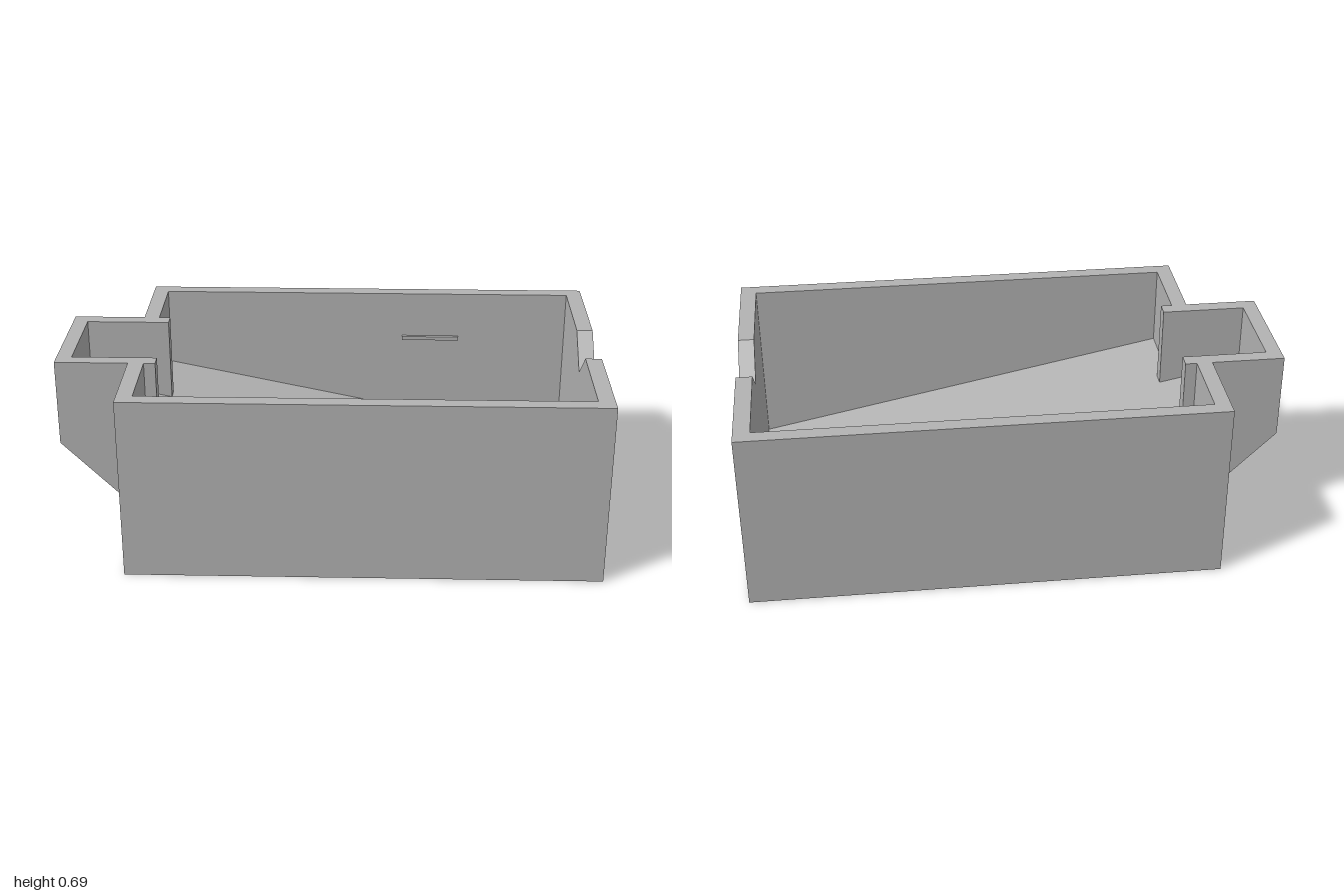
import * as THREE from 'three';

const H = 0.686;                          // rim height
const ramp = (x) => 0.242 - 0.205 * x;    // height of the sloping floor

export function createModel() {
  const group = new THREE.Group();
  group.name = 'openTray';
  const grey = new THREE.MeshStandardMaterial({ color: 0xb2b2b2 });
  grey.name = 'grey';

  const extrude = (points, depth) => new THREE.ExtrudeGeometry(
    new THREE.Shape(points.map(([x, y]) => new THREE.Vector2(x, y))),
    { depth, bevelEnabled: false });

  const add = (name, geometry) => {
    const mesh = new THREE.Mesh(geometry, grey);
    mesh.name = name;
    group.add(mesh);
  };

  // Side profile (x, y) extruded from z0 to z1
  const slab = (name, points, z0, z1) =>
    add(name, extrude(points, z1 - z0).translate(0, 0, z0));

  const rect = (x0, y0, x1, y1) => [[x0, y0], [x1, y0], [x1, y1], [x0, y1]];

  // Same slab on the front and the back
  const pair = (name, points, near, far) => {
    slab(name + 'Front', points, near, far);
    slab(name + 'Back', points, -far, -near);
  };

  // Main box walls
  pair('longWall', rect(-0.73, 0, 1, H), 0.516, 0.571);
  pair('spoutEndWall', rect(-0.73, 0, -0.672, H), 0.228, 0.516);

  // Spout cheeks, running a little way into the box
  pair('spoutCheek',
    [[-1, 0.36], [-0.73, 0.09], [-0.73, 0], [-0.63, 0], [-0.63, H], [-1, H]],
    0.175, 0.228);

  // Spout end wall and sloping underside
  slab('spoutFloor', [
    [-1, 0.36], [-0.73, 0.09], [-0.73, 0], [-0.672, 0], [-0.672, ramp(-0.672)],
    [-0.944, ramp(-0.944)], [-0.944, H], [-1, H],
  ], -0.175, 0.175);

  // Sloping floor of the box
  slab('rampFloor',
    [[-0.672, 0], [0.94, 0], [0.94, ramp(0.94)], [-0.672, ramp(-0.672)]],
    -0.516, 0.516);

  // End wall with a V notch in its rim
  const notched = [[-0.516, 0], [0.516, 0], [0.516, H], [0.138, H], [0, 0.573],
    [-0.138, H], [-0.516, H]];
  add('notchedWall', extrude(notched, 0.06).rotateY(Math.PI / 2).translate(0.94, 0, 0));

  // Small level mark on the inside of the back wall
  slab('levelMark', rect(0.28, 0.49, 0.51, 0.505), -0.516, -0.502);

  return group;
}
